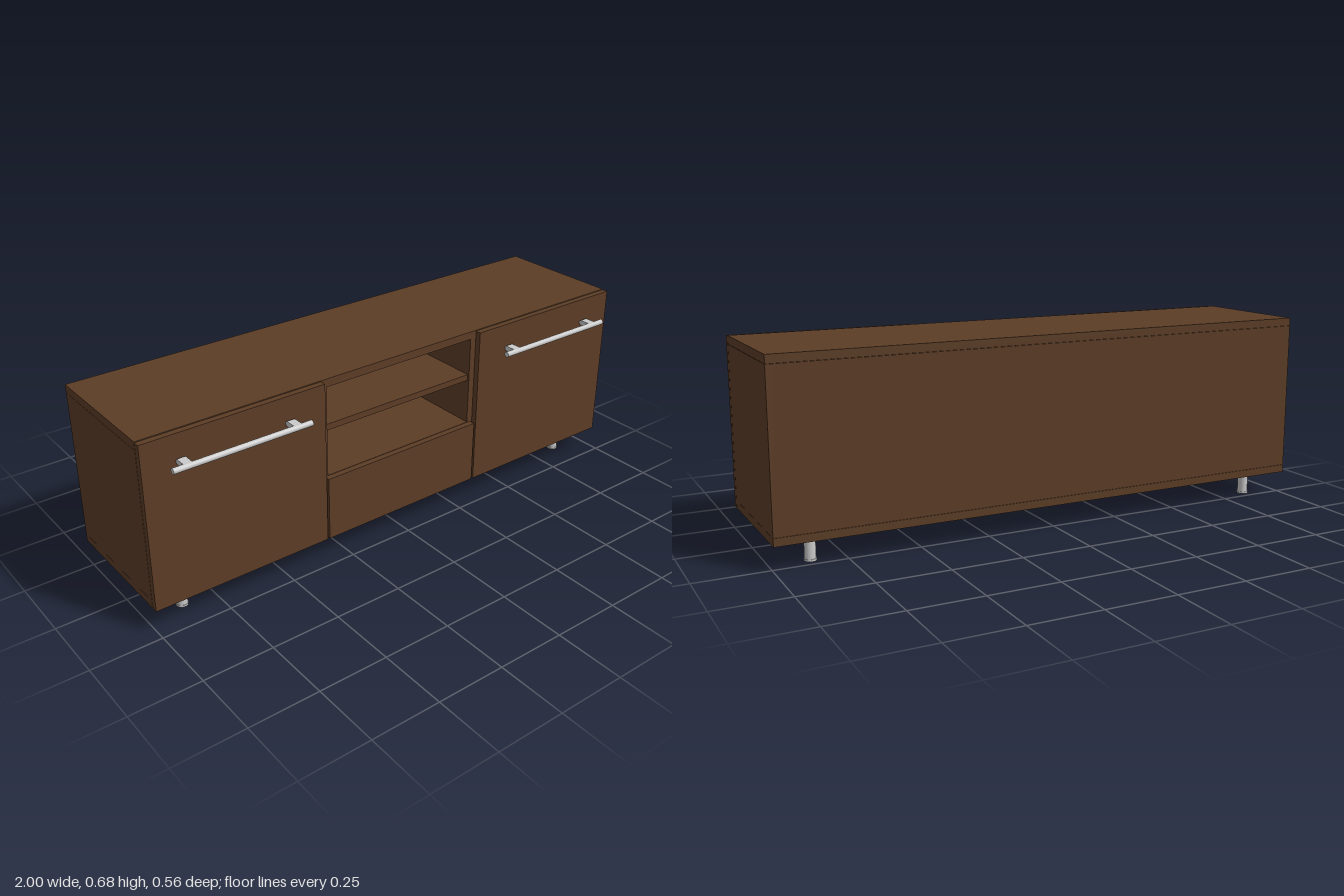
import * as THREE from 'three';

const wood = new THREE.MeshStandardMaterial({ color: 0x5c3d26 });
const metal = new THREE.MeshStandardMaterial({ color: 0xcccccc });

// Box given by its min and max on each axis
function panel(name, [x0, x1], [y0, y1], [z0, z1]) {
  const mesh = new THREE.Mesh(new THREE.BoxGeometry(x1 - x0, y1 - y0, z1 - z0), wood);
  mesh.position.set((x0 + x1) / 2, (y0 + y1) / 2, (z0 + z1) / 2);
  mesh.name = name;
  return mesh;
}

function cylinder(name, radius, height, x, y, z) {
  const mesh = new THREE.Mesh(new THREE.CylinderGeometry(radius, radius, height, 32), metal);
  mesh.position.set(x, y, z);
  mesh.name = name;
  return mesh;
}

// Bar handle on two round-ended brackets
function createHandle() {
  const handle = new THREE.Group();
  const bar = cylinder('handleBar', 0.01, 0.498, 0, 0, 0.27);
  bar.rotation.z = Math.PI / 2;
  handle.add(bar);

  const r = 0.0095;
  const shape = new THREE.Shape();
  shape.absarc(-0.231, 0, r, Math.PI / 2, -Math.PI / 2, true);
  shape.absarc(-0.269, 0, r, -Math.PI / 2, -Math.PI * 1.5, true);
  const geometry = new THREE.ExtrudeGeometry(shape, { depth: 0.03, bevelEnabled: false, curveSegments: 12 });
  geometry.translate(0, 0, -0.015);
  geometry.rotateY(Math.PI / 2);
  for (const x of [-0.196, 0.196]) {
    const bracket = new THREE.Mesh(geometry, metal);
    bracket.name = 'handleBracket';
    bracket.position.x = x;
    handle.add(bracket);
  }
  return handle;
}

export function createModel() {
  const model = new THREE.Group();
  model.name = 'mediaCabinet';
  const depth = [-0.28, 0.197];
  const doorDepth = [0.199, 0.221];

  // Carcass
  model.add(
    panel('top', [-1, 1], [0.654, 0.683], depth),
    panel('bottom', [-1, 1], [0.084, 0.112], depth),
    panel('back', [-0.97, 0.97], [0.113, 0.653], [-0.28, -0.258]),
    panel('middleShelf', [-0.315, 0.315], [0.49, 0.513], [-0.258, 0.19]),
    panel('lowerShelf', [-0.315, 0.315], [0.295, 0.322], [-0.258, 0.197]),
    panel('drawerFront', [-0.329, 0.329], [0.085, 0.322], doorDepth)
  );

  // Mirrored sides, dividers, doors, handles and legs
  for (const s of [-1, 1]) {
    const label = s > 0 ? 'left' : 'right';
    const span = (a, b) => (s > 0 ? [a, b] : [-b, -a]);
    model.add(
      panel(label + 'Side', span(0.97, 1), [0.113, 0.653], depth),
      panel(label + 'Divider', span(0.315, 0.345), [0.112, 0.654], [-0.258, 0.197]),
      panel(label + 'Door', span(0.337, 1), [0.085, 0.681], doorDepth)
    );

    const handle = createHandle();
    handle.name = label + 'Handle';
    handle.position.set(s * 0.674, 0.59, 0);
    model.add(handle);

    for (const z of [0.131, -0.207]) {
      const leg = new THREE.Group();
      leg.name = label + (z > 0 ? 'FrontLeg' : 'BackLeg');
      leg.add(
        cylinder('legPost', 0.019, 0.079, s * 0.865, 0.0455, z),
        cylinder('legFoot', 0.0208, 0.007, s * 0.865, 0.0035, z)
      );
      model.add(leg);
    }
  }
  return model;
}
